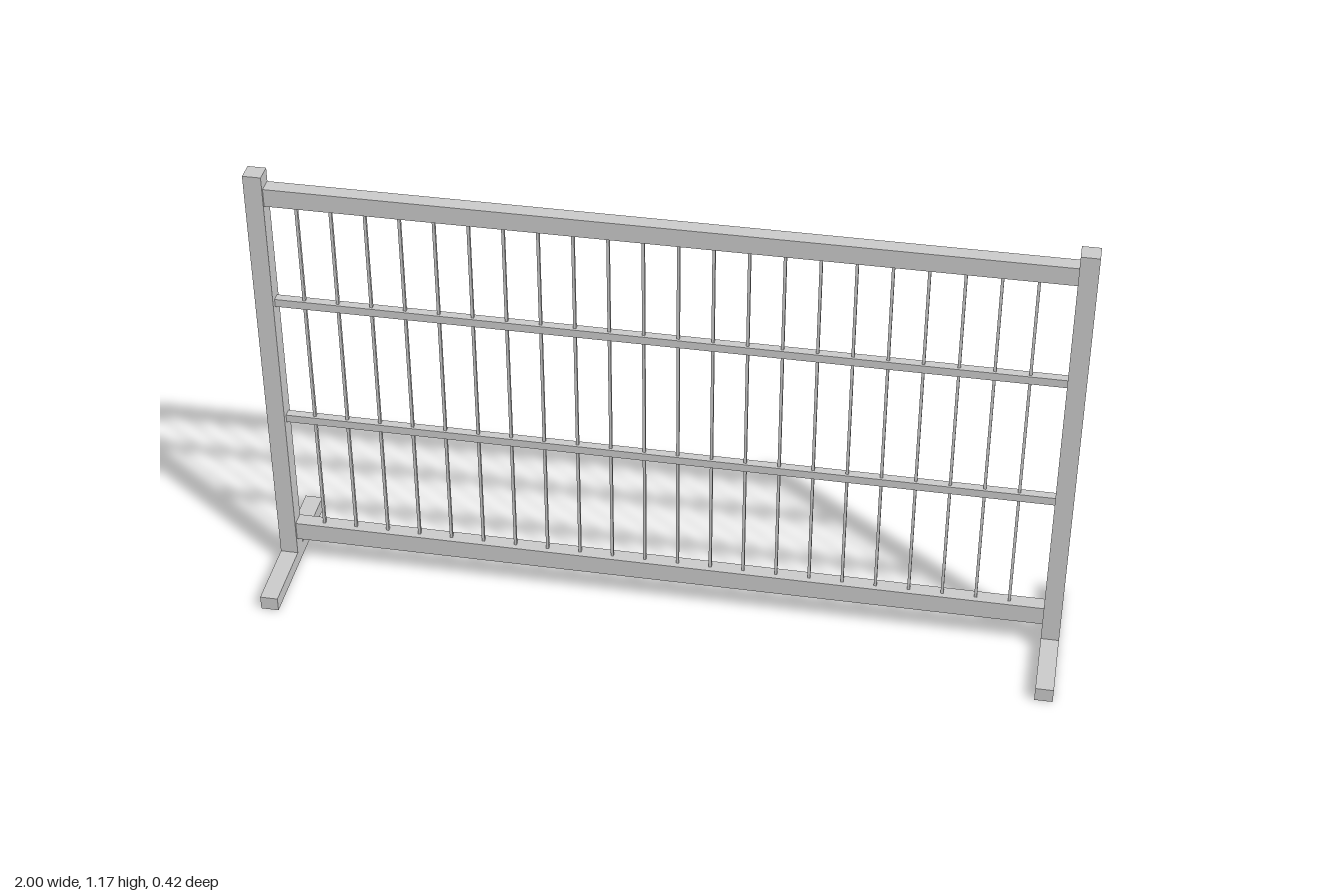
import * as THREE from 'three';

export function createModel() {
  const model = new THREE.Group();
  const material = new THREE.MeshStandardMaterial({ color: 0xcccccc, flatShading: true });

  function box(name, w, h, d, x, y, z = 0) {
    const mesh = new THREE.Mesh(new THREE.BoxGeometry(w, h, d), material);
    mesh.name = name;
    mesh.position.set(x, y, z);
    model.add(mesh);
  }

  // Upright posts standing on cross feet
  const postWidth = 0.045, postHeight = 1.172, footHeight = 0.037;
  for (const [side, s] of [['left', 1], ['right', -1]]) {
    const x = s * (1 - postWidth / 2);
    box(side + 'Post', postWidth, postHeight - footHeight, 0.046, x, (postHeight + footHeight) / 2);
    box(side + 'Foot', postWidth, footHeight, 0.42, x, footHeight / 2);
  }

  // Heavy frame rails and slim middle rails
  const span = 2 - 2 * postWidth;
  box('topRail', span, 0.047, 0.038, 0, 1.113, -0.002);
  box('bottomRail', span, 0.05, 0.038, 0, 0.104, -0.002);
  box('upperMiddleRail', span, 0.021, 0.022, 0, 0.808, -0.002);
  box('lowerMiddleRail', span, 0.021, 0.022, 0, 0.459, -0.002);

  // Thin vertical bars
  const barCount = 22, firstBar = -0.883, barStep = 0.0834;
  for (let i = 0; i < barCount; i++) {
    box('bar' + (i + 1), 0.007, 0.97, 0.009, firstBar + i * barStep, 0.609, -0.002);
  }

  return model;
}
